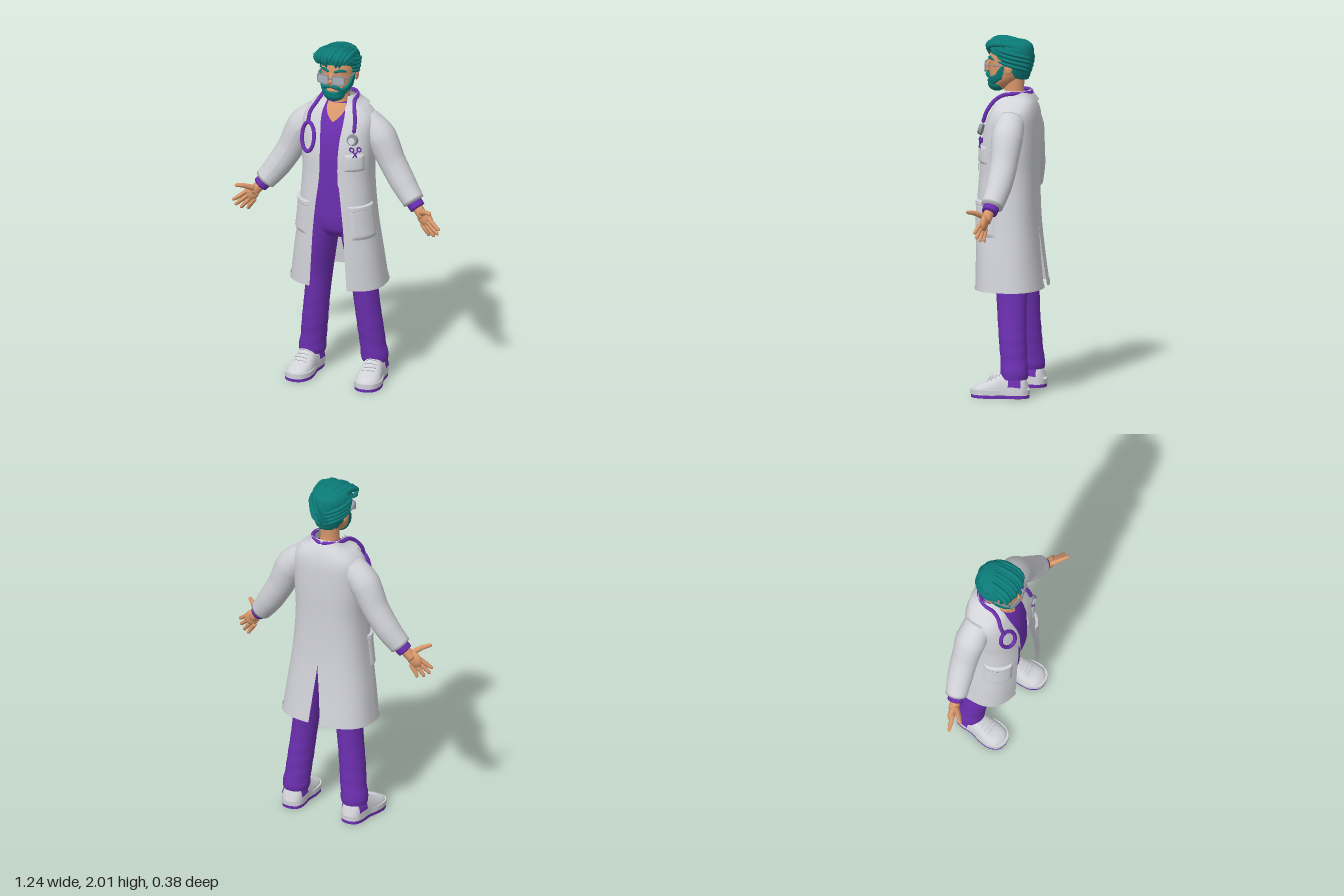
import * as THREE from 'three';

const mat = (name, color) => Object.assign(new THREE.MeshStandardMaterial({ color, side: THREE.DoubleSide }), { name });
const WHITE = mat('coat white', 0xd2d3d9), PURPLE = mat('scrub purple', 0x6c2fb0), TEAL = mat('hair teal', 0x0b7b78);
const SKIN = mat('skin', 0xd9986c), METAL = mat('metal grey', 0x8f929c), LENS = mat('lens grey', 0xaab0bc);

const V = (x, y, z) => new THREE.Vector3(x, y, z);
const lerp = THREE.MathUtils.lerp;
const pow = (v, p) => Math.sign(v) * Math.abs(v) ** p;

function add(parent, name, geo, material) {
  const m = new THREE.Mesh(geo, material);
  m.name = name;
  parent.add(m);
  return m;
}

// Smooth interpolation of table rows keyed by their first column
function sample(rows, k) {
  const n = rows.length - 1;
  k = THREE.MathUtils.clamp(k, rows[0][0], rows[n][0]);
  let i = 0;
  while (i < n - 1 && rows[i + 1][0] < k) i++;
  const a = rows[i], b = rows[i + 1], h = b[0] - a[0], t = (k - a[0]) / h;
  const slope = (j, c) => {
    const p = rows[Math.max(j - 1, 0)], q = rows[Math.min(j + 1, n)];
    return (q[c] - p[c]) / (q[0] - p[0]);
  };
  return a.map((_, c) => (1 + 2 * t) * (1 - t) ** 2 * a[c] + t * (1 - t) ** 2 * h * slope(i, c)
    + t * t * (3 - 2 * t) * b[c] + t * t * (t - 1) * h * slope(i + 1, c));
}

// Surface from a rule fn(u, v) -> Vector3
function grid(fn, nu, nv) {
  const pos = [], idx = [], w = nu + 1;
  for (let j = 0; j <= nv; j++) for (let i = 0; i <= nu; i++) pos.push(...fn(i / nu, j / nv).toArray());
  for (let j = 0; j < nv; j++) for (let i = 0; i < nu; i++) {
    const a = j * w + i;
    idx.push(a, a + 1, a + w + 1, a, a + w + 1, a + w);
  }
  const g = new THREE.BufferGeometry();
  g.setAttribute('position', new THREE.Float32BufferAttribute(pos, 3));
  g.setIndex(idx);
  g.computeVertexNormals();
  return g;
}

// Point on a body of rows [y, half width, front z, back z]; angle 0 is the front
function ringPt(rows, a, y, off = 0, p = 1) {
  const [, hw, zf, zb] = sample(rows, y);
  return V((hw + off) * pow(Math.sin(a), p), y, (zf + zb) / 2 + ((zf - zb) / 2 + off) * pow(Math.cos(a), p));
}
const loft = (rows, nv, p = 1) => grid((u, v) =>
  ringPt(rows, (u * 2 - 1) * Math.PI, lerp(rows[0][0], rows[rows.length - 1][0], v), 0, p), 40, nv);

// Round limb through points with changing radius and closed ends
function limb(points, radii, seg = 20, sides = 12) {
  const curve = new THREE.CatmullRomCurve3(points.map(p => V(...p)));
  const g = new THREE.TubeGeometry(curve, seg, 1, sides), pos = g.attributes.position;
  for (let i = 0; i <= seg; i++) {
    const c = curve.getPointAt(i / seg), f = i / seg * (radii.length - 1), k = Math.min(Math.floor(f), radii.length - 2);
    const r = i === 0 || i === seg ? 0.0005 : lerp(radii[k], radii[k + 1], f - k);
    for (let j = 0; j <= sides; j++) {
      const q = i * (sides + 1) + j;
      const v = V().fromBufferAttribute(pos, q).sub(c).multiplyScalar(r).add(c);
      pos.setXYZ(q, v.x, v.y, v.z);
    }
  }
  g.computeVertexNormals();
  return g;
}
const ball = (x, y, z, sx, sy, sz) => new THREE.SphereGeometry(1, 24, 16).scale(sx, sy, sz).translate(x, y, z);

// Coat rows: y, half width, front z, back z, half opening, half back slit
const COAT = [
  [0.60, .272, .19, -.19, .11, .036], [0.78, .25, .19, -.168, .10, .018], [0.95, .226, .188, -.152, .09, 0],
  [1.10, .21, .185, -.146, .075, 0], [1.25, .20, .175, -.146, .058, 0], [1.38, .205, .168, -.15, .056, 0],
  [1.48, .207, .15, -.15, .06, 0], [1.56, .205, .125, -.147, .068, 0], [1.61, .182, .10, -.137, .07, 0],
  [1.64, .14, .085, -.125, .066, 0], [1.665, .098, .06, -.112, .06, 0], [1.70, .078, .03, -.088, .055, 0]];
const P = 0.77;
const angleAt = (x, y) => Math.asin(Math.min(1, (Math.max(x, 0) / sample(COAT, y)[1]) ** (1 / P)));
const coatPt = (a, y, off = 0) => ringPt(COAT, a, y, off, P).add(V(0, y > 1.58 ? off * 0.7 : 0, 0));
const onCoat = (x, y, off) => { const p = coatPt(angleAt(Math.abs(x), y), y, off); p.x *= Math.sign(x); return p; };
const openA = y => angleAt(sample(COAT, y)[4], y);
const backA = y => Math.PI - angleAt(sample(COAT, y)[5], y);
const pillow = (u, v) => Math.min(1, 10 * Math.min(u, 1 - u, v, 1 - v));

function coatHalf(g) {
  const band = (y0, y1, off) => grid((u, v) => {
    const y = lerp(y0, y1, v);
    return coatPt(lerp(openA(y), backA(y), u), y, off);
  }, 40, Math.ceil((y1 - y0) * 45) + 1);
  add(g, 'coat body', band(0.6, 1.7, 0), WHITE);
  add(g, 'coat hem', band(0.597, 0.622, 0.004), WHITE);
  add(g, 'coat lapel', grid((u, v) => {
    const y = lerp(1.2, 1.655, v), w = 0.055 * Math.min(1, v * 1.5) * (v > 0.88 ? 0.6 : 1);
    return onCoat(sample(COAT, y)[4] - 0.004 + w * u, y, 0.009);
  }, 8, 28), WHITE);
  add(g, 'coat collar', grid((u, v) => {
    const y = lerp(1.635, 1.70, v);
    return coatPt(lerp(openA(y) + 0.15, Math.PI, u), y, 0.012);
  }, 30, 6), WHITE);
  add(g, 'side pocket', grid((u, v) =>
    coatPt(lerp(0.5, 1.5, u), lerp(0.9, 1.09, v), 0.009 * pillow(u, v) + 0.001), 20, 20), WHITE);
  add(g, 'pocket welt', grid((u, v) =>
    coatPt(lerp(0.48, 1.52, u), lerp(1.07, 1.1, v), 0.014 * pillow(u, v)), 20, 10), WHITE);
  add(g, 'sleeve', limb([[.13, 1.56, -.03], [.225, 1.475, -.03], [.305, 1.32, -.028], [.38, 1.2, -.015], [.452, 1.105, .005]],
    [.078, .088, .077, .072, .06], 36, 24), WHITE);
}

function armAndLegHalf(g) {
  add(g, 'shirt cuff', limb([[.43, 1.13, 0], [.452, 1.105, .006], [.475, 1.08, .012]], [.045, .045, .043], 8, 18), PURPLE);
  // Hand with spread fingers, palm forward
  add(g, 'wrist', limb([[.45, 1.108, .005], [.48, 1.073, .015], [.515, 1.035, .025]], [.03, .029, .03], 10), SKIN);
  add(g, 'palm', new THREE.SphereGeometry(1, 20, 14).scale(.052, .042, .021).rotateZ(-0.78).translate(.517, 1.037, .026), SKIN);
  const tips = [[.62, .987, .06], [.608, .956, .052], [.58, .936, .036], [.543, .93, .018]];
  tips.forEach(([x, y, z], i) => {
    const bx = .552 - i * .0145, by = 1.033 - i * .0145, bz = .034 - i * .004;
    add(g, 'finger', limb([[bx - .015, by + .015, bz], [(bx + x) / 2, (by + y) / 2, (bz + z) / 2 + .004], [x, y, z]], [.0125, .0125, .009], 12, 8), SKIN);
  });
  add(g, 'thumb', limb([[.495, 1.065, .03], [.54, 1.092, .075], [.585, 1.105, .115]], [.018, .014, .01], 12, 8), SKIN);

  // Trouser leg rows: y, centre x, centre z, radius x, radius z
  const LEG = [[.105, .187, -.06, .072, .072], [.13, .186, -.06, .077, .078], [.2, .177, -.055, .073, .075], [.3, .166, -.046, .073, .077],
    [.45, .149, -.036, .071, .081], [.6, .132, -.03, .073, .09], [.8, .11, -.012, .083, .115], [.97, .085, 0, .085, .125]];
  add(g, 'trouser leg', grid((u, v) => {
    const [y, cx, cz, rx, rz] = sample(LEG, lerp(.105, .97, v)), a = u * Math.PI * 2;
    const fold = 1 + 0.022 * Math.sin(y * 75 + 2 * Math.sin(a)) * Math.max(0, 1 - y * 1.8);
    return V(cx + rx * fold * Math.sin(a), y, cz + rz * fold * Math.cos(a));
  }, 32, 60), PURPLE);

  // Shoe, toe turned slightly out
  const shoe = new THREE.Group();
  shoe.name = 'shoe';
  shoe.position.set(.197, 0, 0);
  shoe.rotation.y = 0.09;
  g.add(shoe);
  const SHOE = [[-.14, .035, .06], [-.12, .056, .115], [-.07, .064, .145], [0, .064, .14], [.05, .069, .112], [.1, .071, .086], [.15, .058, .068], [.176, .02, .045]];
  const upperPt = (z, a, off = 0) => {
    const [, hw, top] = sample(SHOE, z);
    return V((hw + off) * pow(Math.cos(a), .8), .025 + (top - .025 + off) * pow(Math.sin(a), .8), z);
  };
  add(shoe, 'shoe upper', grid((u, v) => upperPt(lerp(.176, -.14, v), u * Math.PI), 24, 30), WHITE);
  const sole = (s, y0, y1) => {
    const pts = [[0, -.145], [.045, -.13], [.062, -.08], [.06, -.01], [.074, .06], [.073, .12], [.045, .168], [0, .182]];
    const all = [...pts, ...pts.slice(1, -1).reverse().map(([x, z]) => [-x, z])];
    const shape = new THREE.Shape(new THREE.CatmullRomCurve3(all.map(([x, z]) => V(x * s, z * s, 0)), true).getPoints(48).map(p => new THREE.Vector2(p.x, p.y)));
    return new THREE.ExtrudeGeometry(shape, { depth: y1 - y0, bevelEnabled: false }).rotateX(Math.PI / 2).translate(0, y1, 0);
  };
  add(shoe, 'outsole', sole(1, 0, .022), PURPLE);
  add(shoe, 'midsole', sole(1.015, .018, .046), WHITE);
  for (const s of [0, 1]) add(shoe, 'heel panel', grid((u, v) => {
    const a = lerp(.25, .75, v);
    return upperPt(lerp(-.105, -.035, u), s ? Math.PI - a : a, .004);
  }, 8, 6), PURPLE);
  for (let i = 0; i < 4; i++) add(shoe, 'lace', limb([-1, -.4, .4, 1].map(t =>
    upperPt(.02 + i * .022, Math.PI / 2 + t * .5, .003).toArray()), [.004, .004], 10, 6), WHITE);
}

const HEAD = [[1.70, .02, .10, .06], [1.715, .04, .114, .03], [1.74, .062, .125, -.01], [1.77, .078, .13, -.05], [1.81, .088, .13, -.08],
  [1.85, .092, .128, -.09], [1.9, .09, .126, -.09], [1.95, .07, .10, -.07], [1.975, .02, .04, -.02]];
const HAIR = [[1.76, .07, .1, -.085], [1.80, .085, .1, -.1], [1.85, .1, .12, -.115], [1.90, .108, .132, -.12], [1.94, .11, .135, -.115],
  [1.97, .092, .118, -.1], [1.985, .06, .08, -.065], [1.99, .005, .015, -.005]];
// Edge heights by angle from the front
const HAIRLINE = [[0, 1.922], [.8, 1.918], [1.1, 1.9], [1.35, 1.868], [1.55, 1.865], [1.9, 1.79], [2.3, 1.772], [3.15, 1.766]];
const BEARD_TOP = [[0, 1.762], [.4, 1.764], [.7, 1.785], [1.1, 1.80], [1.3, 1.84], [1.6, 1.88]];
const BEARD_LOW = [[0, 1.703], [.5, 1.71], [1, 1.73], [1.6, 1.775]];

function buildHead(g) {
  add(g, 'neck', loft([[1.56, .085, .08, -.08], [1.63, .06, .05, -.075], [1.70, .053, .045, -.065], [1.78, .053, .04, -.07]], 10), SKIN);
  add(g, 'face', loft(HEAD, 36), SKIN);
  add(g, 'hair cap', grid((u, v) => {
    const a = (u * 2 - 1) * Math.PI, low = sample(HAIRLINE, Math.abs(a))[1], y = lerp(low, 1.99, Math.max(0, v - .05) / .95);
    const strand = .004 * Math.sin(14 * a + 60 * y) * Math.min(1, (1.99 - y) * 20);
    return ringPt(HAIR, a, y, v === 0 ? -.025 : strand);
  }, 96, 24), TEAL);
  // Quiff locks swept back over the crown
  for (let i = 0; i < 9; i++) {
    const x = -.088 + i * .022, k = 1 - (x / .12) ** 2, r = .015 + .004 * Math.sin(i * 2.3);
    add(g, 'quiff lock', limb([[x * .8 - .012, 1.91 + .012 * Math.sin(i * 1.7), .098 + .03 * k], [x - .012, 1.95, .105 + .03 * k],
      [x * 1.02, 1.958 + .025 * k, .07 + .02 * k], [x * .95 + .008, 1.955 + .026 * k, .01], [x * .8 + .015, 1.945 + .025 * k, -.06]],
      [.005, r, r + .003, r, .004], 20, 10), TEAL);
  }
  add(g, 'stray lock', limb([[-.09, 1.92, .08], [-.108, 1.935, .09], [-.12, 1.965, .095]], [.012, .012, .002], 12, 8), TEAL);
  for (const s of [-1, 1]) for (let i = 0; i < 4; i++) {
    const y = 1.945 - i * .024;
    add(g, 'side lock', limb([1.1, 1.6, 2.1, 2.6, 3.05].map((a, j) => ringPt(HAIR, s * a, y - j * .017, .001).toArray()), [.005, .011, .013, .011, .004], 18, 8), TEAL);
  }
  add(g, 'beard', grid((u, v) => {
    const a = (u * 2 - 1) * 1.55, y = lerp(sample(BEARD_LOW, Math.abs(a))[1], sample(BEARD_TOP, Math.abs(a))[1], v);
    return ringPt(HEAD, a, y, v === 0 || v === 1 ? -.006 : .011 + .002 * Math.sin(a * 30 + y * 60));
  }, 70, 12), TEAL);
  add(g, 'chin beard', ball(0, 1.737, .086, .062, .043, .053), TEAL);
  add(g, 'lower lip', limb([[-.024, 1.773, .129], [0, 1.771, .139], [.024, 1.773, .129]], [.004, .007, .004], 10, 8), SKIN);
  add(g, 'nose', limb([[0, 1.875, .12], [0, 1.845, .137], [0, 1.815, .148]], [.01, .012, .016], 12, 12), SKIN);

  const rect = (w, h, r) => {
    const s = new THREE.Shape();
    s.absarc(w - r, h - r, r, 0, Math.PI / 2).absarc(r - w, h - r, r, Math.PI / 2, Math.PI)
      .absarc(r - w, r - h, r, Math.PI, 1.5 * Math.PI).absarc(w - r, r - h, r, 1.5 * Math.PI, 2 * Math.PI);
    return s;
  };
  const rim = rect(.037, .027, .014);
  rim.holes.push(rect(.032, .022, .01));
  for (const s of [-1, 1]) {
    add(g, 'moustache', limb([[0, 1.797, .14], [s * .028, 1.792, .135], [s * .056, 1.772, .113]], [.009, .012, .005], 14, 10), TEAL);
    add(g, 'eyebrow', limb([[s * .014, 1.878, .128], [s * .045, 1.888, .118], [s * .076, 1.876, .085]], [.007, .009, .004], 12, 8), TEAL);
    add(g, 'ear', ball(s * .099, 1.833, -.003, .012, .033, .022), SKIN);
    add(g, 'nostril', ball(s * .012, 1.814, .14, .009, .008, .01), SKIN);
    const eye = new THREE.Group();
    eye.name = 'spectacle eye';
    eye.position.set(s * .044, 1.838, .139);
    eye.rotation.y = s * .22;
    g.add(eye);
    add(eye, 'rim', new THREE.ExtrudeGeometry(rim, { depth: .008, bevelEnabled: false, curveSegments: 8 }), METAL);
    add(eye, 'lens', new THREE.ExtrudeGeometry(rect(.033, .023, .011), { depth: .004, bevelEnabled: false, curveSegments: 8 }).translate(0, 0, .002), LENS);
    add(g, 'spectacle temple', limb([[s * .08, 1.848, .132], [s * .096, 1.85, .07], [s * .102, 1.85, 0]], [.004, .004, .004], 10, 6), METAL);
  }
  add(g, 'spectacle bridge', limb([[-.012, 1.845, .15], [0, 1.849, .154], [.012, 1.845, .15]], [.004, .004], 8, 6), METAL);
}

function buildStethoscope(g) {
  const side = (s, pts) => [[0, 1.69, -.112], [s * .06, 1.697, -.085], [s * .095, 1.695, -.03], [s * .1, 1.685, .03],
    ...pts.map(([x, y]) => onCoat(s * x, y, .018).toArray())];
  add(g, 'hanging tube', limb(side(-1, [[.1, 1.645], [.125, 1.6], [.13, 1.555]]), [.011, .011], 40, 10), PURPLE);
  add(g, 'chestpiece tube', limb(side(1, [[.1, 1.645], [.122, 1.59], [.125, 1.53]]), [.011, .011], 40, 10), PURPLE);
  const loop = [];
  for (let i = 0; i < 14; i++) {
    const t = i / 14 * Math.PI * 2;
    loop.push(onCoat(-.121 + .038 * Math.cos(t), 1.478 + .08 * Math.sin(t), .02));
  }
  add(g, 'tube loop', new THREE.TubeGeometry(new THREE.CatmullRomCurve3(loop, true), 48, .011, 10, true), PURPLE);
  const c = onCoat(.12, 1.495, .018);
  add(g, 'chestpiece', new THREE.CylinderGeometry(.029, .033, .02, 28).rotateX(Math.PI / 2 - .2).translate(c.x, c.y, c.z), METAL);
  add(g, 'chestpiece face', new THREE.CylinderGeometry(.019, .019, .008, 24).rotateX(Math.PI / 2 - .2).translate(c.x, c.y - .002, c.z + .011), WHITE);
}

export function createModel() {
  const model = new THREE.Group();
  model.name = 'doctor';
  for (const s of [1, -1]) {
    const half = new THREE.Group();
    half.name = s > 0 ? 'left half' : 'right half';
    half.scale.x = s;
    coatHalf(half);
    armAndLegHalf(half);
    model.add(half);
  }
  const SHIRT = [[1.02, .17, .157, -.12], [1.2, .165, .157, -.12], [1.4, .17, .148, -.12], [1.5, .17, .13, -.12],
    [1.57, .15, .105, -.11], [1.63, .10, .072, -.09], [1.67, .062, .042, -.07]];
  add(model, 'shirt', loft(SHIRT, 40), PURPLE);
  add(model, 'neckline', grid((u, v) => ringPt(SHIRT, (u * 2 - 1) * (.02 + .8 * v), lerp(1.572, 1.665, v), .006), 12, 10), SKIN);
  add(model, 'trouser waist', loft([[.87, .1, .08, -.09], [.92, .155, .122, -.12], [1.06, .16, .14, -.115]], 12), PURPLE);

  // Chest pocket with a small pair of scissors
  add(model, 'chest pocket', grid((u, v) => onCoat(lerp(.09, .185, u), lerp(1.305, 1.405, v), .008 * pillow(u, v) + .001), 14, 14), WHITE);
  for (const s of [-1, 1]) {
    const p = onCoat(.14 + s * .017, 1.438, .012);
    add(model, 'scissor handle', new THREE.TorusGeometry(.012, .004, 8, 18).translate(p.x, p.y, p.z), PURPLE);
    add(model, 'scissor blade', limb([[.14 + s * .012, 1.43], [.14, 1.412], [.14 - s * .01, 1.39]].map(([x, y]) => onCoat(x, y, .012).toArray()), [.004, .004], 8, 6), PURPLE);
  }
  buildHead(model);
  buildStethoscope(model);
  return model;
}
